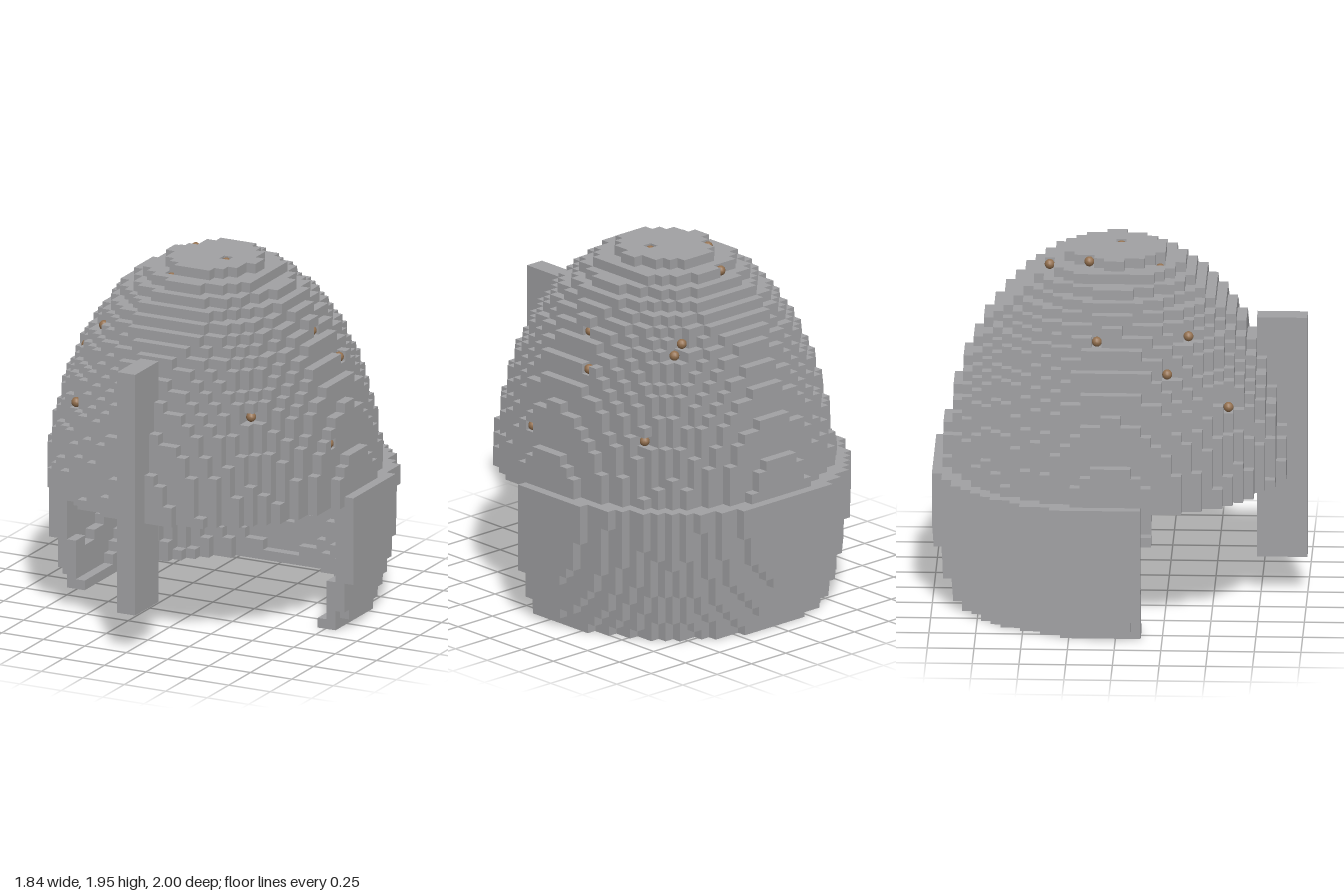
import * as THREE from 'three';

// Voxel grid: 37 cells deep = 2 units
const U = 2 / 37;
const key = (i, j, k) => `${i},${j},${k}`;

// Is the centre of cell (i, j, k) inside an ellipsoid centred at height cy?
function inside(i, j, k, { cy, r: [rx, ry, rz] }) {
  const x = i + 0.5, y = j + 0.5 - cy, z = k + 0.5 - 18;
  return (x / rx) ** 2 + (y / ry) ** 2 + (z / rz) ** 2 <= 1;
}

const DOME = { cy: 12, r: [16.05, 24.55, 17.05] };
const DOME_HOLLOW = { cy: 12, r: [14.05, 22.4, 15.05] };
const GUARD = { cy: 13, r: [17.46, 25.4, 18.5] };
const GUARD_HOLLOW = { cy: 13, r: [15.4, 25.4, 16.5] };

const shell = (i, j, k, outer, hollow) => inside(i, j, k, outer) && !inside(i, j, k, hollow);

// Which part a cell belongs to
function partAt(i, j, k) {
  if (i >= -1 && i < 1 && j >= 4 && j < 29 && k >= 32) return 'noseGuard';
  if (j >= 13 && j < 36 && shell(i, j, k, DOME, DOME_HOLLOW)) return 'dome';
  if (j < 14 && k < 21 && shell(i, j, k, GUARD, GUARD_HOLLOW)) return 'neckAndCheekGuard';
  return null;
}

// Exposed faces of a list of cells
function voxelGeometry(list, filled) {
  const pos = [], nor = [], index = [];
  const square = [[0, 0], [1, 0], [1, 1], [0, 1]];
  for (const cell of list) {
    for (let a = 0; a < 3; a++) {
      for (const s of [1, -1]) {
        const next = [...cell];
        next[a] += s;
        if (filled.has(key(...next))) continue;
        const n = [0, 0, 0];
        n[a] = s;
        const base = pos.length / 3;
        for (const [p, q] of s > 0 ? square : [...square].reverse()) {
          const c = [...cell];
          c[a] += s > 0 ? 1 : 0;
          c[(a + 1) % 3] += p;
          c[(a + 2) % 3] += q;
          pos.push(c[0] * U, c[1] * U, c[2] * U - 1);
          nor.push(...n);
        }
        index.push(base, base + 1, base + 2, base, base + 2, base + 3);
      }
    }
  }
  const g = new THREE.BufferGeometry();
  g.setAttribute('position', new THREE.Float32BufferAttribute(pos, 3));
  g.setAttribute('normal', new THREE.Float32BufferAttribute(nor, 3));
  g.setIndex(index);
  return g;
}

export function createModel() {
  const iron = new THREE.MeshStandardMaterial({ color: 0xa0a0a2 });
  iron.name = 'iron grey';
  const rust = new THREE.MeshStandardMaterial({ color: 0x93704f });
  rust.name = 'rust brown';

  const filled = new Map();
  for (let i = -18; i < 18; i++)
    for (let j = 0; j < 36; j++)
      for (let k = 0; k < 37; k++) {
        const part = partAt(i, j, k);
        if (part) filled.set(key(i, j, k), part);
      }

  // Rust on the upper surface, as columns [i, k]
  const spots = [];
  const upper = [[1, 18], [-2, 11], [-4, 15], [-11, 16], [12, 15], [6, 8], [7, 8],
    [-3, 22], [-12, 23], [-9, 25], [-10, 29]];
  for (const [i, k] of upper) {
    let j = 35;
    while (j > 0 && !filled.has(key(i, j, k))) j--;
    spots.push([i, j, k]);
  }
  // Rust on the left side, as rows [j, k]
  for (const [j, k] of [[29, 17], [23, 28], [19, 21], [20, 8]]) {
    let i = 17;
    while (i > 0 && !filled.has(key(i, j, k))) i--;
    spots.push([i, j, k]);
  }

  const group = new THREE.Group();
  group.name = 'helmet';

  // Each rust spot is a small bead that takes the place of one cell
  const bead = new THREE.SphereGeometry(U / 2, 12, 8);
  for (const [i, j, k] of spots) {
    filled.delete(key(i, j, k));
    const mesh = new THREE.Mesh(bead, rust);
    mesh.name = 'rustSpot';
    mesh.position.set((i + 0.5) * U, (j + 0.5) * U, (k + 0.5) * U - 1);
    group.add(mesh);
  }

  // One mesh per iron part
  for (const part of ['dome', 'neckAndCheekGuard', 'noseGuard']) {
    const list = [...filled].filter(([, p]) => p === part).map(([c]) => c.split(',').map(Number));
    const mesh = new THREE.Mesh(voxelGeometry(list, filled), iron);
    mesh.name = part;
    group.add(mesh);
  }
  return group;
}
